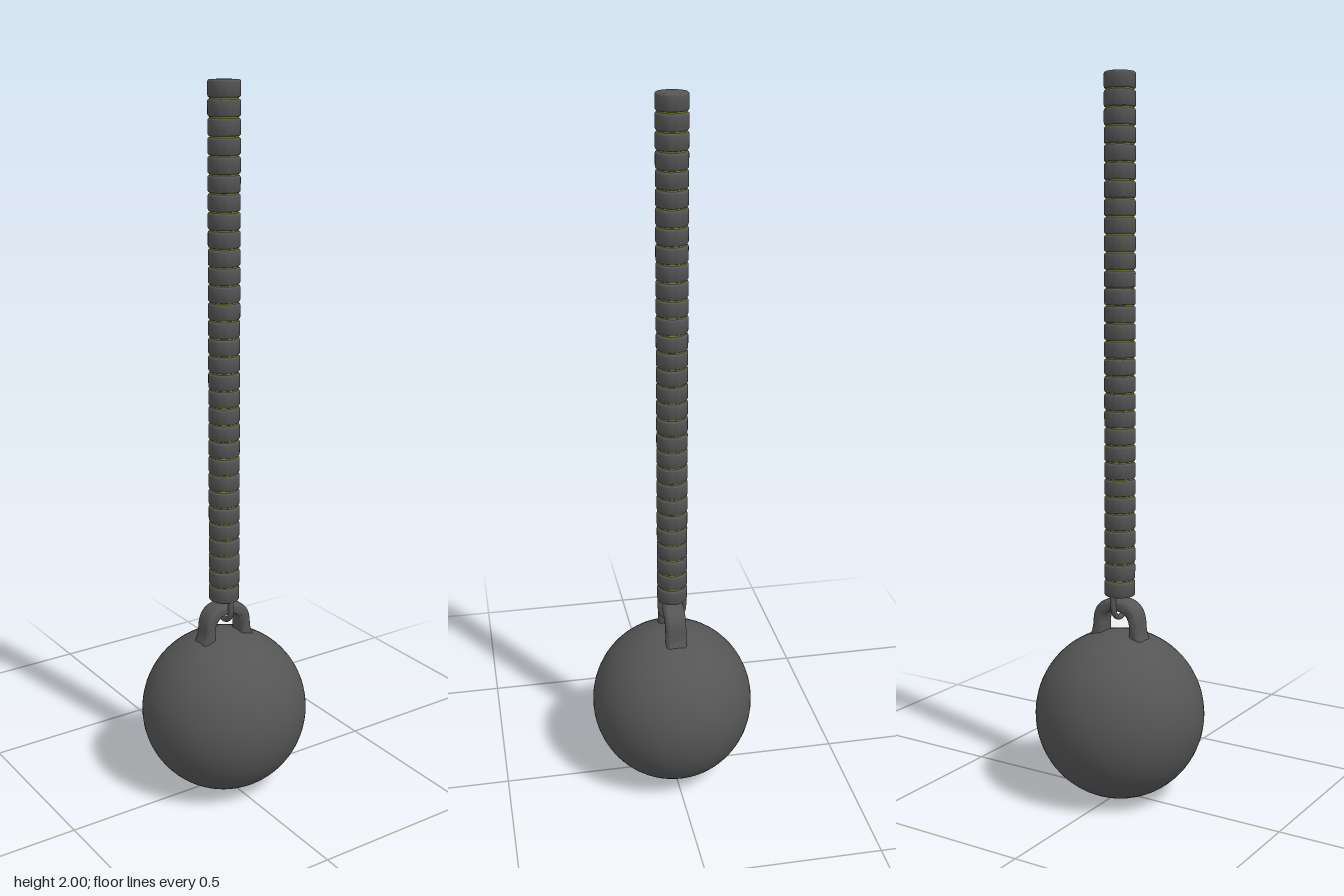
import * as THREE from 'three';
import { toCreasedNormals } from 'three/addons/utils/BufferGeometryUtils.js';

const iron = new THREE.MeshStandardMaterial({ color: 0x555555 });
const yellow = new THREE.MeshStandardMaterial({ color: 0x8c8c22 });

function add(parent, name, geometry, material = iron) {
  const mesh = new THREE.Mesh(geometry, material);
  mesh.name = name;
  parent.add(mesh);
  return mesh;
}

// Closed drum with rounded rims, standing on y = 0
function drumGeometry(radius, height, bevel) {
  const points = [new THREE.Vector2(0, 0)];
  for (const [cy, start] of [[bevel, -Math.PI / 2], [height - bevel, 0]]) {
    for (let i = 0; i <= 4; i++) {
      const a = start + (i / 4) * (Math.PI / 2);
      points.push(new THREE.Vector2(radius - bevel + bevel * Math.cos(a), cy + bevel * Math.sin(a)));
    }
  }
  points.push(new THREE.Vector2(0, height));
  return toCreasedNormals(new THREE.LatheGeometry(points, 40), 0.7);
}

// Arched eye that flares into the ball, with a rounded opening
function lugGeometry() {
  const shape = new THREE.Shape();
  shape.moveTo(-0.092, 0.42);
  shape.lineTo(0.092, 0.42);
  shape.lineTo(0.086, 0.455);
  shape.quadraticCurveTo(0.075, 0.475, 0.074, 0.5);
  shape.bezierCurveTo(0.072, 0.545, 0.05, 0.57, 0, 0.57);
  shape.bezierCurveTo(-0.05, 0.57, -0.072, 0.545, -0.074, 0.5);
  shape.quadraticCurveTo(-0.075, 0.475, -0.086, 0.455);
  const hole = new THREE.Path();
  hole.moveTo(-0.044, 0.45);
  hole.lineTo(-0.044, 0.495);
  hole.bezierCurveTo(-0.042, 0.525, -0.025, 0.536, 0, 0.536);
  hole.bezierCurveTo(0.025, 0.536, 0.042, 0.525, 0.044, 0.495);
  hole.lineTo(0.044, 0.45);
  hole.closePath();
  shape.holes.push(hole);
  const bevel = 0.011;
  const geometry = new THREE.ExtrudeGeometry(shape, {
    depth: 0.06 - 2 * bevel, curveSegments: 12, bevelEnabled: true,
    bevelThickness: bevel, bevelSize: bevel, bevelOffset: -bevel, bevelSegments: 4,
  });
  geometry.translate(0, 0, -0.03 + bevel);
  return toCreasedNormals(geometry, 0.8);
}

// U-shaped shackle passing under the arch of the eye
function shackleGeometry() {
  const points = [new THREE.Vector3(0, 0.59, -0.034)];
  for (let i = 0; i <= 10; i++) {
    const a = Math.PI + (i / 10) * Math.PI;
    points.push(new THREE.Vector3(0, 0.55 + 0.034 * Math.sin(a), 0.034 * Math.cos(a)));
  }
  points.push(new THREE.Vector3(0, 0.59, 0.034));
  return new THREE.TubeGeometry(new THREE.CatmullRomCurve3(points), 40, 0.008, 12);
}

export function createModel() {
  const model = new THREE.Group();
  model.name = 'wreckingBall';

  // Heavy ball
  const ball = add(model, 'ball', new THREE.SphereGeometry(0.24, 64, 40));
  ball.scale.set(1, 0.99, 0.98);
  ball.position.y = 0.238;

  add(model, 'lug', lugGeometry());
  add(model, 'shackle', shackleGeometry());

  // Segmented cable with a coloured core showing in the grooves
  const cable = new THREE.Group();
  cable.name = 'cable';
  model.add(cable);
  const count = 30, bottom = 0.575, pitch = (2 - bottom) / count;
  const drum = drumGeometry(0.043, pitch - 0.003, 0.006);
  for (let i = 0; i < count; i++) {
    add(cable, 'cableSegment', drum).position.y = bottom + 0.003 + i * pitch;
  }
  const coreHeight = 2 - bottom - 0.04;
  const core = add(cable, 'cableCore', new THREE.CylinderGeometry(0.038, 0.038, coreHeight, 40), yellow);
  core.position.y = bottom + 0.02 + coreHeight / 2;
  return model;
}
